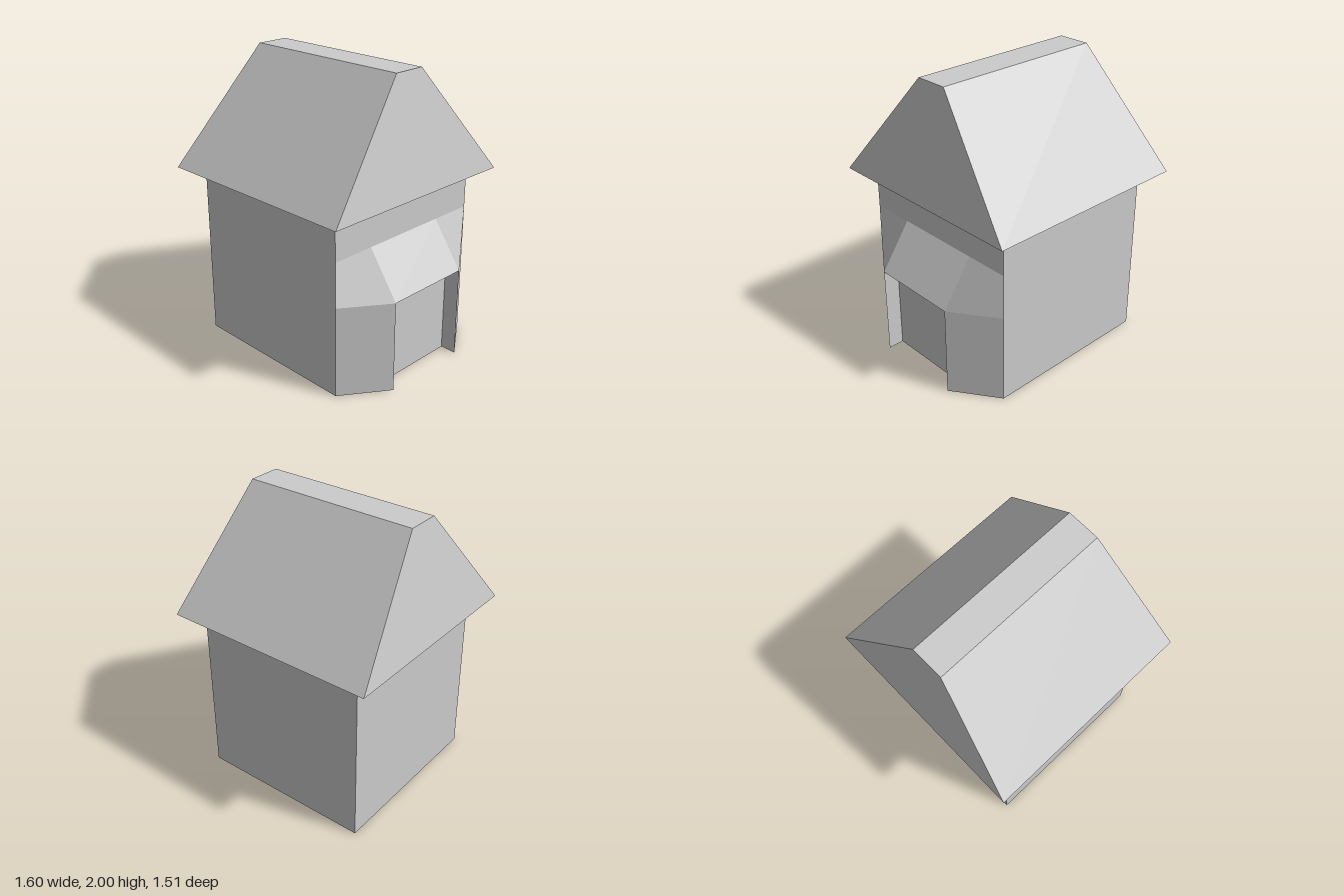
import * as THREE from 'three';

const material = new THREE.MeshStandardMaterial({ color: 0xcccccc });

function addMesh(parent, name, geometry) {
  const mesh = new THREE.Mesh(geometry, material);
  mesh.name = name;
  parent.add(mesh);
  return mesh;
}

// Flat-shaded quads, corners anticlockwise seen from outside, one normal per quad.
function quads(list) {
  const positions = [], normals = [], index = [];
  list.forEach(([a, b, c, d], i) => {
    const [va, vb, vc, vd] = [a, b, c, d].map((p) => new THREE.Vector3(...p));
    const n = vc.sub(va).cross(vd.sub(vb)).normalize();
    for (const p of [a, b, c, d]) {
      positions.push(...p);
      normals.push(n.x, n.y, n.z);
    }
    const k = i * 4;
    index.push(k, k + 1, k + 2, k, k + 2, k + 3);
  });
  const geometry = new THREE.BufferGeometry();
  geometry.setAttribute('position', new THREE.Float32BufferAttribute(positions, 3));
  geometry.setAttribute('normal', new THREE.Float32BufferAttribute(normals, 3));
  geometry.setIndex(index);
  return geometry;
}

// Rectangle corners at height y, anticlockwise seen from above.
const ring = (x0, x1, z, y) => [[x0, y, z], [x1, y, z], [x1, y, -z], [x0, y, -z]];

export function createModel() {
  const house = new THREE.Group();
  house.name = 'house';

  const left = -0.66, right = 0.585, halfDepth = 0.625, eaves = 1.225;

  // Main walls
  const walls = new THREE.BoxGeometry(right - left, eaves, halfDepth * 2);
  addMesh(house, 'walls', walls).position.set((left + right) / 2, eaves / 2, 0);

  // Steep roof with overhanging eaves and a flat ridge
  const low = ring(-0.8, 0.72, 0.755, eaves);
  const high = ring(left, right, 0.115, 2);
  const roofFaces = [high, [...low].reverse()];
  for (let i = 0; i < 4; i++) {
    const j = (i + 1) % 4;
    roofFaces.push([low[i], low[j], high[j], high[i]]);
  }
  addMesh(house, 'roof', quads(roofFaces));

  // Side porch: angled walls around a recessed doorway
  const porch = new THREE.Group();
  porch.name = 'porch';
  house.add(porch);
  const outer = 0.8, door = 0.687, halfDoor = 0.315, lintel = 0.63, top = 0.94;
  const plan = new THREE.Shape([
    [right, -halfDepth], [outer, -halfDoor], [door, -halfDoor],
    [door, halfDoor], [outer, halfDoor], [right, halfDepth],
  ].map(([x, y]) => new THREE.Vector2(x, y)));
  const porchWalls = new THREE.ExtrudeGeometry(plan, { depth: lintel, bevelEnabled: false });
  addMesh(porch, 'porchWalls', porchWalls.rotateX(-Math.PI / 2));

  // Porch roof: middle slope, two warped corners and the soffit over the door
  const porchFaces = [
    [[outer, lintel, halfDoor], [outer, lintel, -halfDoor], [right, top, -halfDoor], [right, top, halfDoor]],
    [[door, lintel, halfDoor], [door, lintel, -halfDoor], [outer, lintel, -halfDoor], [outer, lintel, halfDoor]],
  ];
  for (const s of [1, -1]) {
    const a = [right, top, s * halfDepth], b = [right, top, s * halfDoor];
    const c = [outer, lintel, s * halfDoor], d = [right, lintel, s * halfDepth];
    porchFaces.push(s > 0 ? [a, d, c, b] : [a, b, c, d]);
  }
  addMesh(porch, 'porchRoof', quads(porchFaces));

  return house;
}
